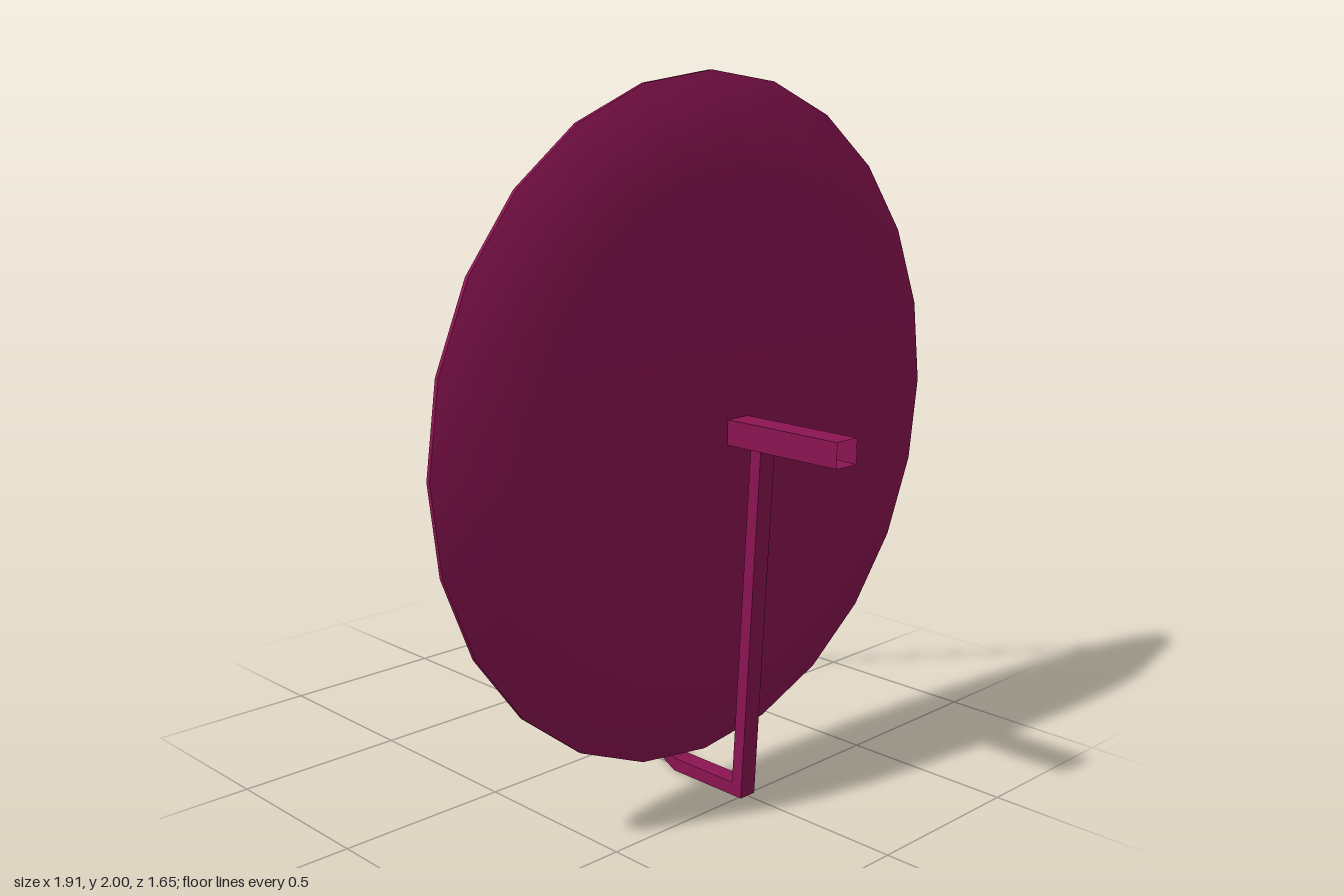
import * as THREE from 'three';

export function createModel() {
  const model = new THREE.Group();
  model.name = 'satelliteDish';
  const smooth = new THREE.MeshStandardMaterial({ color: 0x8c1452, side: THREE.DoubleSide });
  const flat = smooth.clone();
  flat.flatShading = true;

  const add = (parent, name, geometry, material = flat) => {
    const mesh = new THREE.Mesh(geometry, material);
    mesh.name = name;
    parent.add(mesh);
    return mesh;
  };

  // Dish: shallow 24-sided shell, hollow towards the back
  const dish = new THREE.Group();
  dish.name = 'dish';
  dish.position.y = 1.045;
  dish.rotation.x = Math.PI / 2;
  model.add(dish);
  const lathe = (name, profile) => add(dish, name,
    new THREE.LatheGeometry(profile.map(([r, z]) => new THREE.Vector2(r, z)), 24), smooth);
  lathe('dishHollowSide', [[0, 0.437], [0.7, 0.437], [0.95, 0.328]]);
  lathe('dishRim', [[0.95, 0.328], [0.955, 0.328], [0.955, 0.34]]);
  lathe('dishOuterSide', [[0.955, 0.34], [0.71, 0.45], [0, 0.45]]);

  // Mount: square tube, open at its ends
  const tube = new THREE.CylinderGeometry(Math.SQRT1_2, Math.SQRT1_2, 1, 4, 1, true);
  tube.rotateY(Math.PI / 4).rotateX(Math.PI / 2).scale(0.08, 0.07, 0.38);
  add(model, 'mountTube', tube).position.set(0, 1.045, 0.637);

  // Support: post, foot, boom and receiver upright bent from one bar, drawn as (z, y)
  const outline = [
    [0.56, 1.025], [0.508, 0], [0.245, 0], [-0.825, 0.557], [-0.825, 0.775],
    [-0.785, 0.775], [-0.785, 0.575], [0.25, 0.038], [0.474, 0.038], [0.524, 1.025],
  ];
  const width = 0.056;
  const bar = new THREE.ExtrudeGeometry(
    new THREE.Shape(outline.map(([z, y]) => new THREE.Vector2(z, y))),
    { depth: width, bevelEnabled: false });
  bar.translate(0, 0, -width / 2).rotateY(-Math.PI / 2);
  add(model, 'supportArm', bar);

  // Struts from the sides of the rim to the boom
  for (const side of [-1, 1]) {
    const start = new THREE.Vector3(side * 0.93, 1.035, 0.333);
    const end = new THREE.Vector3(0, 0.425, -0.585);
    const path = end.clone().sub(start);
    const strut = add(model, side > 0 ? 'leftStrut' : 'rightStrut',
      new THREE.BoxGeometry(0.017, 0.017, path.length()));
    strut.position.copy(start).add(end).multiplyScalar(0.5);
    strut.lookAt(end);
  }
  return model;
}
